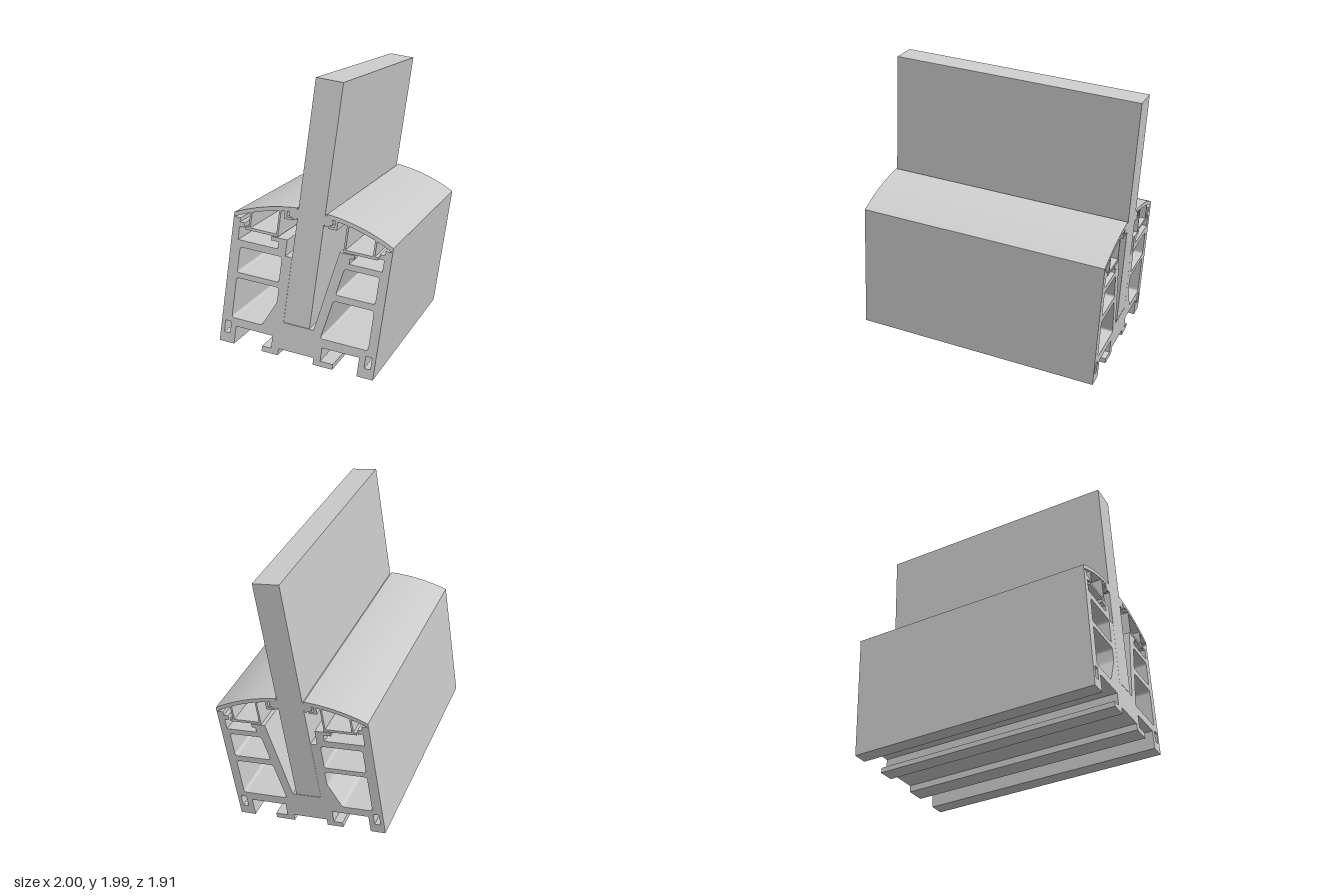
import * as THREE from 'three';

const LENGTH = 1.652; // length of the extruded rail
const WIDTH = 1.03;

const mat = new THREE.MeshStandardMaterial({ color: 0xcccccc, side: THREE.DoubleSide });

const toPoints = (pts) => pts.map(([u, v]) => new THREE.Vector2(u, v));
const mirror = (pts) => pts.map(([u, v]) => [WIDTH - u, v]);
const rect = (u0, v0, u1, v1) => [[u0, v0], [u1, v0], [u1, v1], [u0, v1]];

// Closed outline with its corners rounded by radius r
function rounded(pts, r) {
  const p = toPoints(pts);
  const path = new THREE.Path();
  p.forEach((c, i) => {
    const prev = p[(i + p.length - 1) % p.length], next = p[(i + 1) % p.length];
    const a = c.clone().add(prev.clone().sub(c).setLength(r));
    const b = c.clone().add(next.clone().sub(c).setLength(r));
    if (i === 0) path.moveTo(a.x, a.y); else path.lineTo(a.x, a.y);
    path.quadraticCurveTo(c.x, c.y, b.x, b.y);
  });
  path.closePath();
  return path;
}

function extrude(name, shape) {
  const geo = new THREE.ExtrudeGeometry(shape, { depth: LENGTH, bevelEnabled: false, curveSegments: 5 });
  const mesh = new THREE.Mesh(geo, mat);
  mesh.name = name;
  return mesh;
}
const bar = (name, pts) => extrude(name, new THREE.Shape(toPoints(pts)));

// Curved cover strip between two positions across the rail
const R = 1.165, CU = WIDTH / 2, CV = -0.185, THICK = 0.026;
function coverShape(u0, u1) {
  const n = 20, outer = [], inner = [];
  for (let i = 0; i <= n; i++) {
    const u = u0 + (u1 - u0) * i / n;
    const a = Math.acos((u - CU) / R);
    outer.push([u, CV + R * Math.sin(a)]);
    inner.unshift([u, CV + Math.sqrt((R - THICK) ** 2 - (u - CU) ** 2)]);
  }
  return outer.concat(inner);
}
const archUnder = (u) => CV + Math.sqrt((R - THICK / 2) ** 2 - (u - CU) ** 2);

export function createModel() {
  const rail = new THREE.Group();
  rail.name = 'rail';

  // Main channel profile: outer walls, feet, glass slot and clip hooks
  const body = new THREE.Shape(toPoints([
    [0, 0], [0.1, 0], [0.1, 0.12], [0.35, 0.12], [0.35, 0.035], [0.29, 0.035], [0.29, 0],
    [0.4, 0], [0.4, 0.045], [0.635, 0.045], [0.635, 0], [0.765, 0], [0.765, 0.035],
    [0.68, 0.035], [0.68, 0.125], [0.925, 0.125], [0.925, 0], [1.03, 0],
    [1.03, 0.832], [0.985, 0.832], [0.985, 0.805], [0.955, 0.805], [0.955, 0.775], [0.985, 0.775], [0.985, 0.7],
    [0.775, 0.7], [0.775, 0.735], [0.8, 0.735], [0.8, 0.76], [0.705, 0.76], [0.61, 0.225],
    [0.41, 0.225], [0.41, 0.655], [0.365, 0.655], [0.365, 0.76], [0.26, 0.76], [0.26, 0.735],
    [0.31, 0.735], [0.31, 0.69], [0.045, 0.69], [0.045, 0.775], [0.075, 0.775],
    [0.075, 0.805], [0.045, 0.805], [0.045, 0.832], [0, 0.832],
  ]));
  // Hollow chambers and small screw slots
  body.holes.push(
    rounded(rect(0.065, 0.478, 0.345, 0.645), 0.018),
    rounded([[0.065, 0.173], [0.27, 0.173], [0.35, 0.345], [0.35, 0.443], [0.065, 0.443]], 0.018),
    rounded([[0.718, 0.487], [0.972, 0.487], [0.972, 0.662], [0.75, 0.662]], 0.018),
    rounded([[0.66, 0.183], [0.972, 0.183], [0.972, 0.445], [0.71, 0.445]], 0.018),
    rounded(rect(0.025, 0.065, 0.065, 0.145), 0.006),
    rounded(rect(0.965, 0.065, 1.005, 0.145), 0.006),
  );
  rail.add(extrude('channelBody', body));

  // Glass panel
  rail.add(bar('glassPanel', rect(0.411, 0.228, 0.583, 1.778)));

  // Covers on both sides of the glass with legs, clip strips and gaskets
  const sides = [
    ['left', 0, 0.4, (p) => p],
    ['right', 0.594, WIDTH, mirror],
  ];
  for (const [side, u0, u1, place] of sides) {
    const cover = new THREE.Group();
    cover.name = side + 'Cover';
    cover.add(bar('coverSkin', coverShape(u0, u1)));
    for (const u of [0.105, 0.29]) {
      cover.add(bar('coverLeg', place(rect(u, 0.765, u + 0.012, archUnder(u)))));
    }
    cover.add(bar('clipStrip', place(rect(0.085, 0.765, 0.302, 0.782))));
    const glassGap = side === 'left' ? 0.411 : WIDTH - 0.583;
    const g = (du) => glassGap - du;
    cover.add(bar('gasketHolder', place([
      [g(0.085), 0.89], [g(0.03), 0.89], [g(0.03), 0.905], [g(0.068), 0.905],
      [g(0.068), 0.95], [g(0.085), 0.95],
    ])));
    cover.add(bar('gasket', place([
      [g(0.055), 0.915], [g(0.01), 0.895], [g(0), 0.91], [g(0), 0.966], [g(0.025), 0.966], [g(0.055), 0.94],
    ])));
    rail.add(cover);
  }

  // Tilt and turn the whole rail
  const up = new THREE.Vector3(0.15, 0.9886, 0.005).normalize();
  const out = new THREE.Vector3(-0.69, 0.102, 0.717).normalize();
  const across = new THREE.Vector3().crossVectors(up, out).normalize();
  out.crossVectors(across, up);
  const m = new THREE.Matrix4().makeBasis(across, up, out).setPosition(0.14, 0.114, -0.954);
  rail.applyMatrix4(m);

  const model = new THREE.Group();
  model.name = 'glassRailing';
  model.add(rail);
  return model;
}
